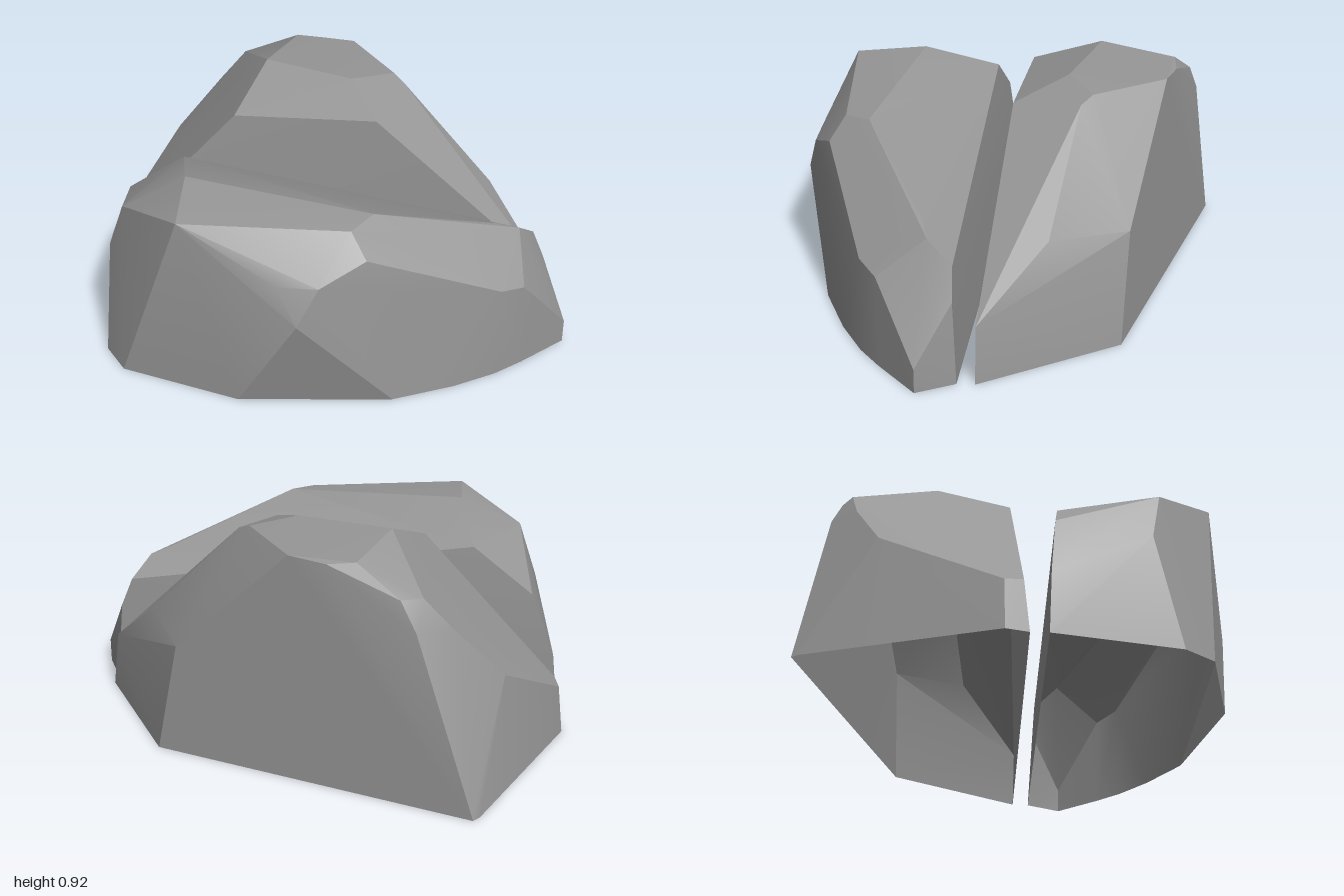
import * as THREE from 'three';
import { ConvexGeometry } from 'three/addons/geometries/ConvexGeometry.js';
import { toCreasedNormals } from 'three/addons/utils/BufferGeometryUtils.js';

// Faceted boulder: hull around its corners, left open underneath
function boulder(name, corners, material) {
  const hull = new ConvexGeometry(corners.map((c) => new THREE.Vector3(...c)));
  const p = hull.attributes.position;
  const kept = [];
  for (let i = 0; i < p.count; i += 3) {
    if (Math.max(p.getY(i), p.getY(i + 1), p.getY(i + 2)) < 0.001) continue;
    for (let k = i; k < i + 3; k++) kept.push(p.getX(k), p.getY(k), p.getZ(k));
  }
  const shell = new THREE.BufferGeometry();
  shell.setAttribute('position', new THREE.Float32BufferAttribute(kept, 3));
  const mesh = new THREE.Mesh(toCreasedNormals(shell, 0.32), material);
  mesh.name = name;
  return mesh;
}

export function createModel() {
  const stone = new THREE.MeshStandardMaterial({ color: 0x969696, side: THREE.DoubleSide });
  stone.name = 'grey stone';

  const front = [
    // foot
    [-0.93, 0, 0.24], [-0.68, 0, 0.67], [-0.55, 0, 0.755], [-0.04, 0, 0.725], [0.51, 0, 0.465],
    [0.7, 0, 0.285], [0.82, 0, 0.14], [0.89, 0, 0.025], [1, 0, -0.185], [0.88, 0, -0.3],
    // right end
    [1, 0.1, -0.185], [0.88, 0.375, 0.03], [0.82, 0.4, 0.13], [0.86, 0.33, -0.275],
    // front shoulder
    [0.21, 0.42, 0.705], [0.12, 0.57, 0.69], [0.27, 0.57, 0.635], [0.4, 0.645, 0.49],
    // left end
    [-0.9, 0.26, 0.24], [-0.69, 0.46, 0.57], [-0.605, 0.67, 0.585],
    // top
    [-0.275, 0.765, 0.73], [0.32, 0.735, 0.455], [0.355, 0.75, 0.33], [-0.39, 0.79, 0.455],
    [-0.415, 0.74, 0.585],
    // slope down to the split
    [-0.8, 0.51, 0.23], [-0.56, 0.69, 0.18], [0.71, 0.565, -0.08], [0.79, 0.53, -0.14],
    [0.815, 0.45, -0.255],
  ];

  const back = [
    // foot
    [-1, 0, 0.1], [-0.95, 0, 0.175], [0.855, 0, -0.365], [0.365, 0, -0.76], [-0.945, 0, -0.7],
    [-0.957, 0, -0.665],
    // left end
    [-0.98, 0.2, 0.09], [-0.94, 0.21, 0.15], [-0.93, 0.45, -0.4], [-0.785, 0.66, -0.55],
    [-0.69, 0.785, -0.61],
    // edge along the split
    [-0.44, 0.8, -0.04], [0.135, 0.83, -0.195], [0.44, 0.555, -0.285], [0.83, 0.23, -0.355],
    // right end
    [0.53, 0.475, -0.515], [0.275, 0.45, -0.745],
    // top
    [-0.44, 0.92, -0.345], [-0.05, 0.91, -0.355], [0.08, 0.895, -0.505], [0.14, 0.87, -0.48],
    [-0.2, 0.895, -0.71], [-0.35, 0.885, -0.702], [-0.45, 0.895, -0.66], [-0.63, 0.79, -0.675],
    [-0.7, 0.68, -0.688],
  ];

  const group = new THREE.Group();
  group.name = 'splitBoulder';
  group.add(boulder('frontRock', front, stone), boulder('backRock', back, stone));
  return group;
}
